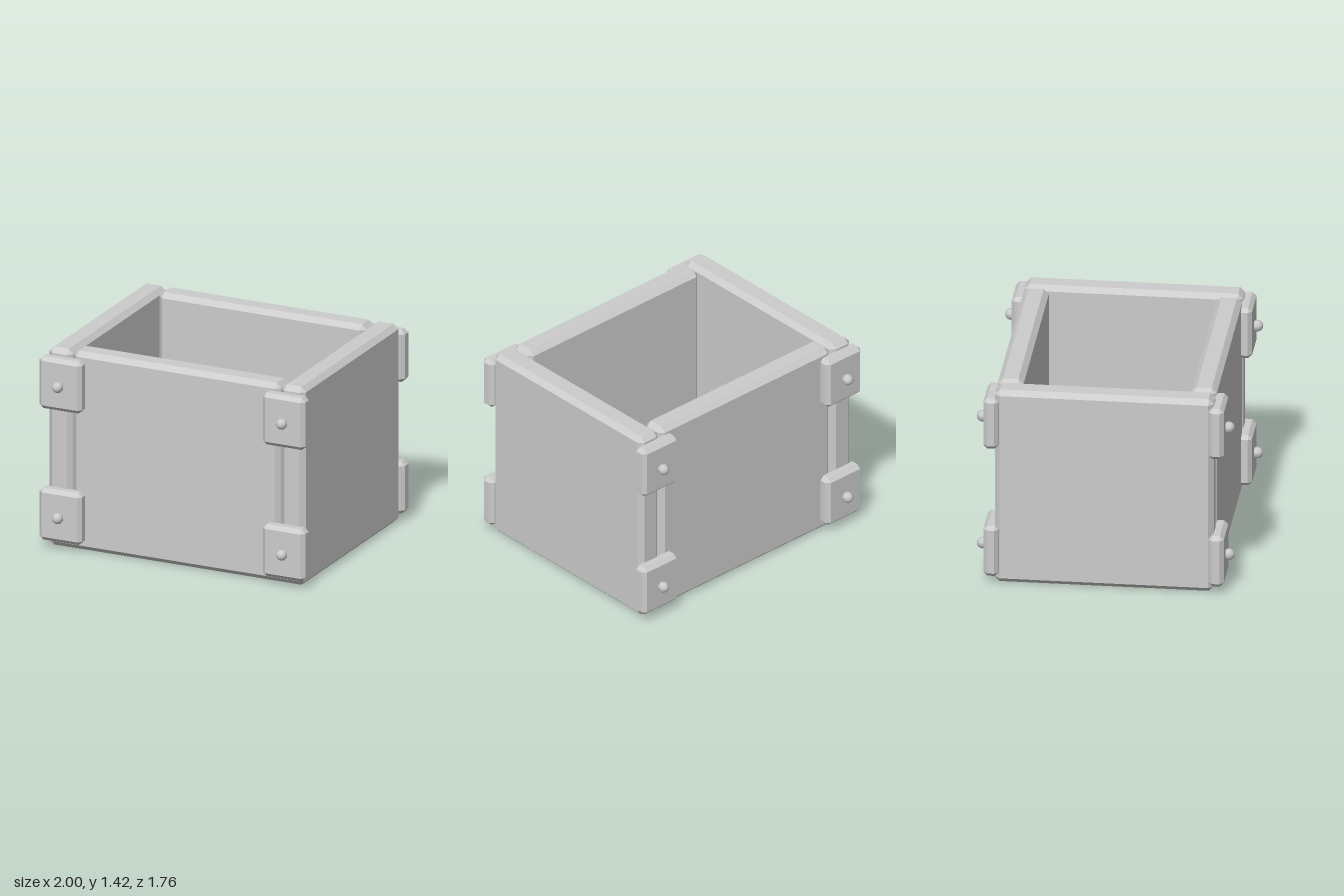
import * as THREE from 'three';
import { ConvexGeometry } from 'three/addons/geometries/ConvexGeometry.js';

// Box with all edges and corners chamfered by c, given by its min and max corners
function chamferedBox(min, max, c) {
  const centre = min.map((v, i) => (v + max[i]) / 2);
  const half = min.map((v, i) => (max[i] - v) / 2);
  const points = [];
  for (const sx of [-1, 1]) for (const sy of [-1, 1]) for (const sz of [-1, 1]) {
    const signs = [sx, sy, sz];
    for (let axis = 0; axis < 3; axis++) {
      points.push(new THREE.Vector3(...signs.map((s, i) => s * (half[i] - (i === axis ? 0 : c)))));
    }
  }
  return new ConvexGeometry(points).translate(...centre);
}

export function createModel() {
  const group = new THREE.Group();
  const grey = new THREE.MeshStandardMaterial({ color: 0xcccccc });
  grey.name = 'light grey';

  const add = (name, geometry) => {
    const mesh = new THREE.Mesh(geometry, grey);
    mesh.name = name;
    group.add(mesh);
    return mesh;
  };

  const height = 1.42, bevel = 0.035;

  // Floor slab
  add('floor', chamferedBox([-0.965, 0, -0.745], [0.965, 0.18, 0.745], bevel));

  // Side walls, and the front and back walls set between them
  for (const [side, s] of [['left', 1], ['right', -1]]) {
    const wall = add(side + 'Wall', chamferedBox([-0.09, 0, -0.745], [0.09, height, 0.745], bevel));
    wall.position.x = s * 0.875;
  }
  for (const [end, s] of [['front', 1], ['back', -1]]) {
    const wall = add(end + 'Wall', chamferedBox([-0.78, 0, -0.0875], [0.78, height, 0.0875], bevel));
    wall.position.z = s * 0.6575;
  }

  // Corner plates, each with a round rivet
  const plate = chamferedBox([-0.16, -0.186, -0.052], [0.16, 0.186, 0.052], 0.027);
  const rivet = new THREE.SphereGeometry(0.04, 8, 8).rotateY(Math.PI / 8).rotateX(Math.PI / 2);
  for (const sx of [-1, 1]) for (const sz of [-1, 1]) {
    for (const [plateY, rivetY] of [[0.241, 0.24], [1.184, 1.18]]) {
      add('cornerPlate', plate).position.set(sx * 0.84, plateY, sz * 0.766);
      add('rivet', rivet).position.set(sx * 0.843, rivetY, sz * 0.838);
    }
  }
  return group;
}
